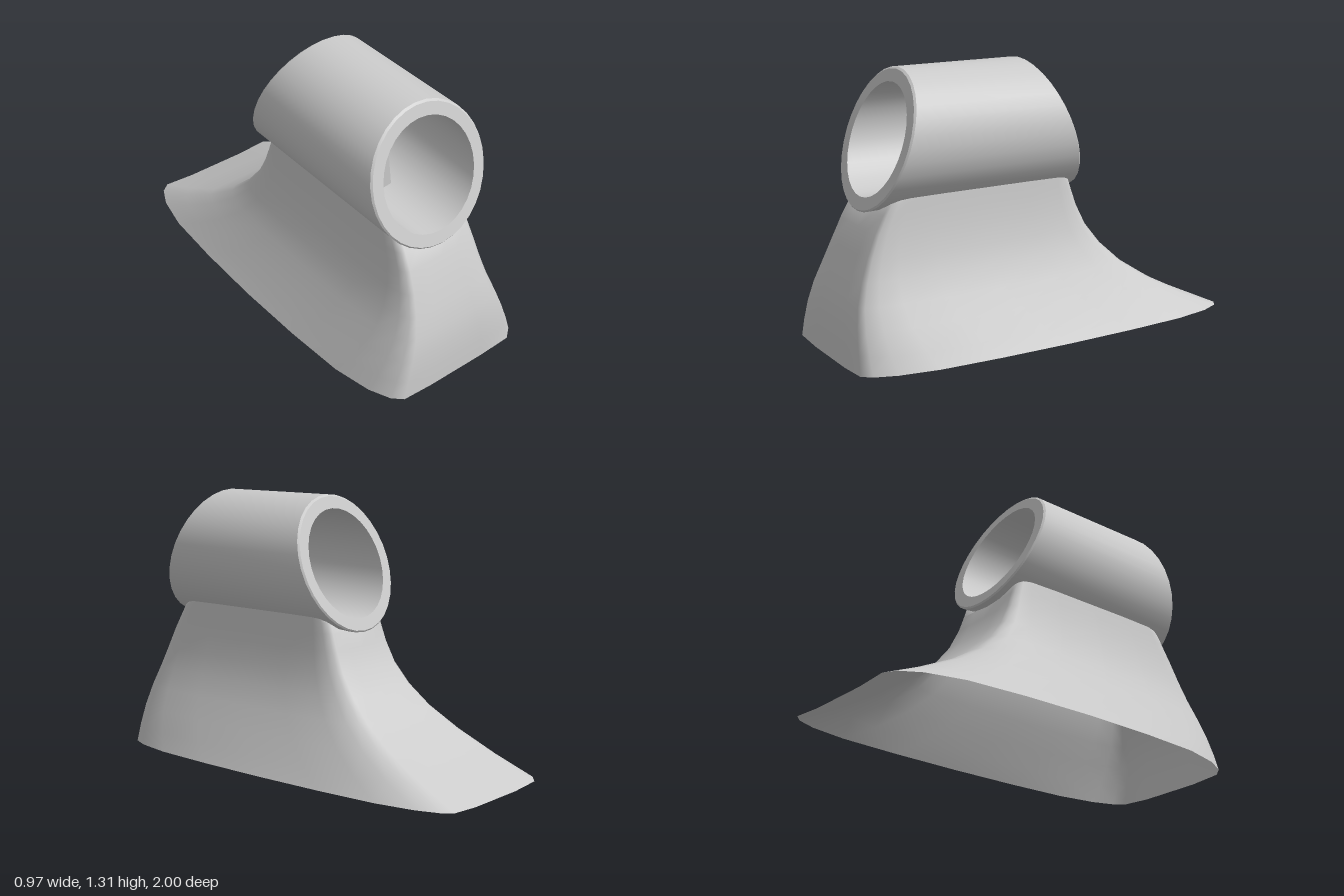
import * as THREE from 'three';
import { toCreasedNormals } from 'three/addons/utils/BufferGeometryUtils.js';

const AXIS_Y = 0.99, OUTER = 0.32, INNER = 0.255;
const lerp = THREE.MathUtils.lerp;

// Skin a stack of closed rings, each with the same number of points
function loft(rings) {
  const n = rings[0].length, index = [];
  for (let r = 0; r < rings.length - 1; r++) {
    for (let i = 0; i < n; i++) {
      const j = (i + 1) % n;
      const a = r * n + i, b = r * n + j, c = b + n, d = a + n;
      index.push(a, b, c, a, c, d);
    }
  }
  const geo = new THREE.BufferGeometry();
  geo.setAttribute('position', new THREE.Float32BufferAttribute(rings.flat(2), 3));
  geo.setIndex(index);
  geo.computeVertexNormals();
  return geo;
}

// Hollow tube along z, its ends cut at a slant, with a fine outer chamfer
function tubeGeometry() {
  const frontZ = y => 0.74 - (y - AXIS_Y) * 0.344;
  const backZ = y => -0.135 + (y - AXIS_Y) * 0.359;
  const c = 0.008;
  const ring = (radius, endZ, inset) => Array.from({ length: 32 }, (_, i) => {
    const a = i / 32 * Math.PI * 2;
    const y = AXIS_Y + radius * Math.sin(a);
    return [radius * Math.cos(a), y, endZ(y) + inset];
  });
  const rings = [
    ring(OUTER, backZ, c), ring(OUTER, frontZ, -c), ring(OUTER - c, frontZ, 0),
    ring(INNER, frontZ, 0), ring(INNER, backZ, 0), ring(OUTER - c, backZ, 0),
  ];
  rings.push(rings[0]);
  return toCreasedNormals(loft(rings), 0.45);
}

// Flared, open-bottomed skirt that meets the underside of the tube
function baseGeometry() {
  // quarter outlines (x, z) from the end to the side, scaled to 1
  const low = [[0, 1], [0.33, 1], [0.66, 1], [0.76, 0.96], [0.86, 0.86], [0.945, 0.67], [0.985, 0.36], [1, 0]];
  const high = [[0, 1], [0.42, 1], [0.82, 1], [0.9, 0.985], [0.96, 0.94], [0.99, 0.85], [1, 0.5], [1, 0]];
  // height, half width, front z, back z
  const stations = [
    [0, 0.487, 1, -1], [0.1, 0.44, 0.995, -0.8], [0.2, 0.385, 0.985, -0.605],
    [0.3, 0.33, 0.965, -0.455], [0.4, 0.284, 0.93, -0.35], [0.5, 0.253, 0.89, -0.275],
    [0.6, 0.233, 0.845, -0.228], [0.68, 0.222, 0.8, -0.2], [0.73, 0.217, 0.77, -0.183], [0.78, 0.213, 0.74, -0.17],
  ];
  const rings = stations.map(([y, w, zf, zb]) => {
    const k = y / 0.78;
    const q = low.map(([x, z], i) => [lerp(x, high[i][0], k), lerp(z, high[i][1], k)]);
    const half = [...q, ...q.slice(0, -1).reverse().map(([x, z]) => [x, -z])];
    const full = [...half, ...half.slice(1, -1).reverse().map(([x, z]) => [-x, z])];
    return full.map(([nx, nz]) => {
      const x = nx * w;
      // bottom rim lifts a little towards the sides; top stops inside the tube wall
      const lift = 0.025 * Math.max(0, Math.abs(x) - 0.2) / 0.287 * Math.max(0, 1 - y / 0.1);
      const top = AXIS_Y - Math.sqrt(0.31 ** 2 - Math.min(Math.abs(x), 0.3) ** 2);
      const limit = Math.abs(x) < 0.225 ? top : 1;
      return [x, Math.min(y + lift, limit), (zf + zb) / 2 + nz * (zf - zb) / 2];
    });
  });
  return loft(rings);
}

// Tapered upright blade standing in the bore
function postGeometry() {
  const shape = new THREE.Shape([[-0.043, 0.725], [0.043, 0.725], [0.013, 0.99], [-0.013, 0.99]]
    .map(p => new THREE.Vector2(...p)));
  return new THREE.ExtrudeGeometry(shape, { depth: 0.27, bevelEnabled: false }).translate(0, 0, 0.17);
}

export function createModel() {
  const group = new THREE.Group();
  const material = new THREE.MeshStandardMaterial({ color: 0xcccccc, side: THREE.DoubleSide });
  const parts = { tube: tubeGeometry(), flaredBase: baseGeometry(), centrePost: postGeometry() };
  for (const [name, geometry] of Object.entries(parts)) {
    const mesh = new THREE.Mesh(geometry, material);
    mesh.name = name;
    group.add(mesh);
  }
  return group;
}
